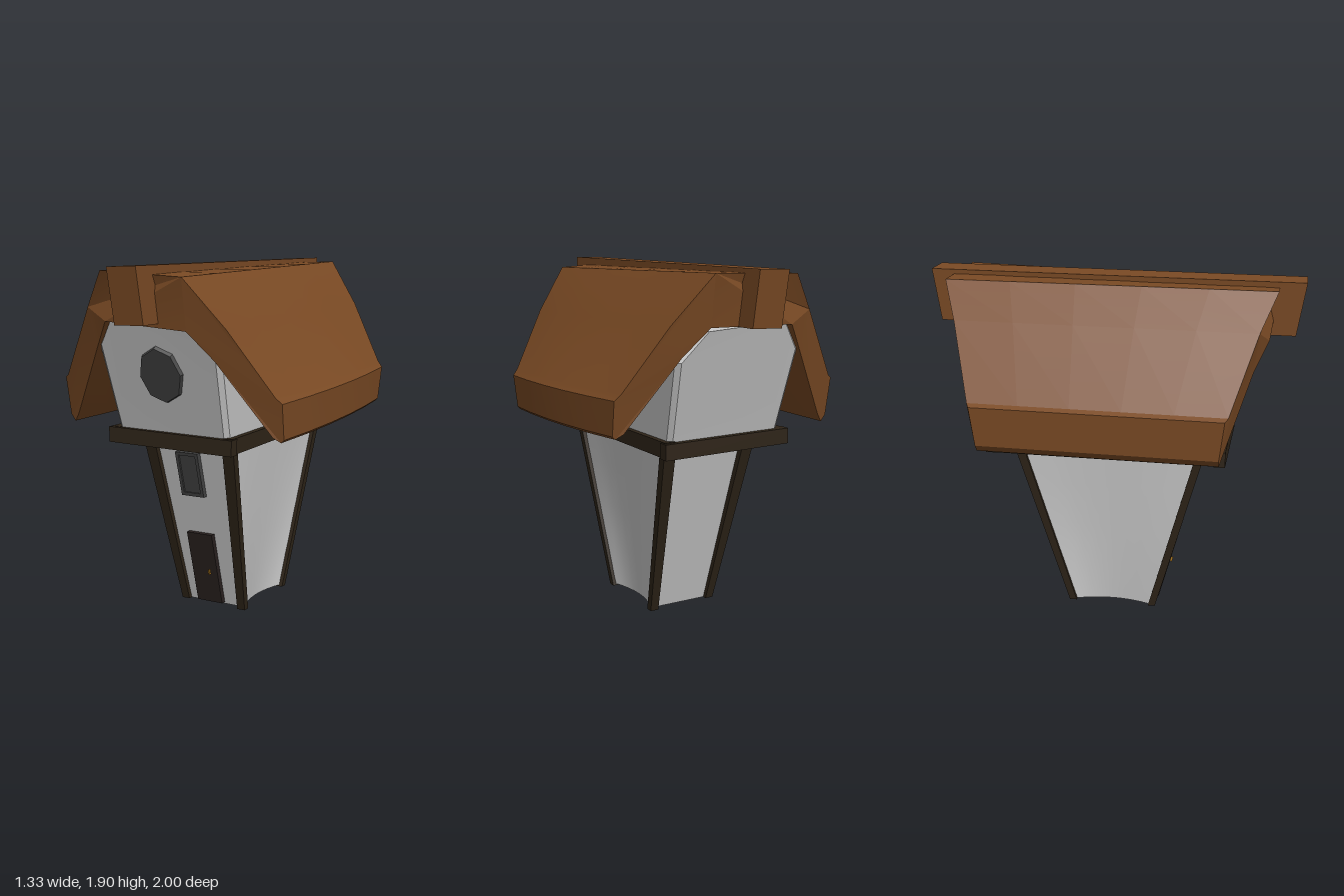
import * as THREE from 'three';
import { toCreasedNormals } from 'three/addons/utils/BufferGeometryUtils.js';

const mat = (color, side = THREE.FrontSide) => new THREE.MeshStandardMaterial({ color, side });
const plaster = mat(0xcccccc, THREE.DoubleSide);
const roofWood = mat(0x7a4a24);
const darkWood = mat(0x2e2418);
const doorWood = mat(0x2a2220);
const glass = mat(0x444444);
const brass = mat(0xb07a20);

// Skin a list of closed rings of [x, y, z]; optional end caps for rings stacked along z
function loft(rings, caps) {
  const n = rings[0].length, last = (rings.length - 1) * n, index = [];
  for (let i = 0; i < rings.length - 1; i++) {
    for (let j = 0; j < n; j++) {
      const a = i * n + j, b = i * n + (j + 1) % n;
      index.push(a, b, b + n, a, b + n, a + n);
    }
  }
  if (caps) {
    const outline = rings[0].map(([x, y]) => new THREE.Vector2(x, y));
    for (const [a, b, c] of THREE.ShapeUtils.triangulateShape(outline, [])) {
      index.push(a, c, b, last + a, last + b, last + c);
    }
  }
  const geo = new THREE.BufferGeometry();
  geo.setAttribute('position', new THREE.Float32BufferAttribute(rings.flat(2), 3));
  geo.setIndex(index);
  return toCreasedNormals(geo, 0.35);
}

// Box whose bottom and top are different rectangles [x0, x1, z0, z1]
function taperedBox(y0, low, y1, high) {
  const geo = new THREE.BoxGeometry(1, 1, 1);
  const p = geo.attributes.position;
  for (let i = 0; i < p.count; i++) {
    const top = p.getY(i) > 0, r = top ? high : low;
    p.setXYZ(i, r[p.getX(i) > 0 ? 1 : 0], top ? y1 : y0, r[p.getZ(i) > 0 ? 3 : 2]);
  }
  const flat = geo.toNonIndexed();
  flat.computeVertexNormals();
  return flat;
}

export function createModel() {
  const model = new THREE.Group();
  const add = (name, geo, material, parent = model) => {
    const mesh = new THREE.Mesh(geo, material);
    mesh.name = name;
    parent.add(mesh);
    return mesh;
  };

  // Tower: open shell flaring upward, side walls bowed inward near the ground
  const towerRings = [];
  for (let i = 0; i <= 4; i++) {
    const t = i / 4, ring = [];
    const front = 0.22 + 0.265 * t, back = -0.225 - 0.28 * t;
    const left = 0.2 + 0.07 * t, right = -0.17 - 0.065 * t;
    const bow = (k) => 0.045 * (1 - t) * (1 - (2 * k - 1) ** 2);
    const y = 0.012 + 0.97 * t;
    for (let k = 0; k <= 1; k += 0.125) ring.push([left - bow(k), y, front + (back - front) * k]);
    for (let k = 0; k <= 1; k += 0.125) ring.push([right + bow(k), y, back + (front - back) * k]);
    towerRings.push(ring);
  }
  add('towerWalls', loft(towerRings), plaster);

  // Leaning corner posts
  const posts = new THREE.Group();
  posts.name = 'cornerPosts';
  model.add(posts);
  for (const [x0, x1, x2, x3, y] of [[-0.185, -0.14, -0.253, -0.187, 0.012], [0.168, 0.215, 0.225, 0.292, 0.004]]) {
    add('frontPost', taperedBox(y, [x0, x1, 0.205, 0.245], 0.98, [x2, x3, 0.47, 0.515]), darkWood, posts);
    add('backPost', taperedBox(y, [x0, x1, -0.25, -0.21], 0.98, [x2, x3, -0.54, -0.49]), darkWood, posts);
  }

  // Door and lower window lie on the leaning front wall
  const wallZ = (y) => 0.22 + 0.273 * y;
  const onWall = (x0, x1, y0, y1, out) => taperedBox(
    y0, [x0, x1, wallZ(y0) - 0.02, wallZ(y0) + out],
    y1, [x0, x1, wallZ(y1) - 0.02, wallZ(y1) + out]);
  add('door', onWall(-0.078, 0.077, 0.022, 0.44, 0.027), doorWood);
  add('doorHandle', onWall(0.026, 0.034, 0.198, 0.226, 0.04), brass);
  add('windowPane', onWall(-0.055, 0.052, 0.68, 0.89, 0.016), glass);
  add('windowFrameTop', onWall(-0.07, 0.066, 0.89, 0.908, 0.026), glass);
  add('windowFrameBottom', onWall(-0.07, 0.066, 0.66, 0.68, 0.026), glass);
  add('windowFrameSide', onWall(-0.07, -0.052, 0.66, 0.908, 0.026), glass);
  add('windowFrameSide', onWall(0.048, 0.066, 0.66, 0.908, 0.026), glass);

  // Upper room: gabled prism, ends leaning outward, chamfered corners
  const roomProfile = [
    [-0.345, 0.975, 0.585], [0.308, 0.975, 0.585], [0.342, 1.45, 0.735],
    [0.21, 1.6, 0.785], [-0.26, 1.63, 0.79], [-0.37, 1.48, 0.745],
  ];
  const roomRings = [[-1, 0, 0.93], [-1, 0.025, 1], [1, 0.025, 1], [1, 0, 0.93]].map(([s, inset, sx]) =>
    roomProfile.map(([x, y, z]) => [x * sx, y, s * (z - inset) - (s < 0 ? 0.012 : 0)]));
  add('upperRoom', loft(roomRings, true), plaster);

  // Eight-sided window in the front gable
  const round = new THREE.Group();
  round.name = 'roundWindow';
  round.position.set(-0.008, 1.34, 0.705);
  round.rotation.x = 0.305;
  model.add(round);
  const ringGeo = new THREE.CylinderGeometry(0.13, 0.14, 0.03, 8).toNonIndexed();
  ringGeo.computeVertexNormals();
  const disc = add('roundWindowPane', ringGeo, glass, round);
  disc.geometry.rotateX(Math.PI / 2).rotateZ(0.06).scale(0.93, 1.12, 1);

  // Beams around the foot of the upper room
  const beams = new THREE.Group();
  beams.name = 'ledgeBeams';
  model.add(beams);
  const bar = (name, w, d, x, y, z) => {
    const mesh = add(name, new THREE.BoxGeometry(w, 0.082, d), darkWood, beams);
    mesh.position.set(x, y, z);
    return mesh;
  };
  bar('frontBeam', 0.74, 0.06, -0.022, 0.99, 0.6).rotation.z = -0.014;
  bar('backBeam', 0.74, 0.06, -0.022, 1.0, -0.62).rotation.z = -0.014;
  bar('leftBeam', 0.06, 1.24, 0.312, 0.994, -0.01).rotation.x = 0.01;
  bar('rightBeam', 0.06, 1.24, -0.355, 1.0, -0.01).rotation.x = 0.006;

  // Thick roof shell: [x, y, half length] around its section, flared at the eaves
  const roofProfile = [
    [-0.652, 1.08, 0.62], [-0.625, 1.045, 0.62], [-0.59, 1.09, 0.635], [-0.365, 1.46, 0.76],
    [-0.26, 1.605, 0.83], [0.21, 1.572, 0.83], [0.33, 1.43, 0.765], [0.575, 1.06, 0.63],
    [0.61, 1.035, 0.61], [0.625, 1.05, 0.61], [0.632, 1.23, 0.645], [0.602, 1.262, 0.66],
    [0.4, 1.585, 0.775], [0.21, 1.83, 0.867], [-0.26, 1.856, 0.867], [-0.4, 1.67, 0.785],
    [-0.635, 1.3, 0.66], [-0.662, 1.285, 0.645],
  ];
  const roofRings = [-1, -0.6, -0.2, 0.2, 0.6, 1].map((s) => roofProfile.map(([x, y, z]) => [
    x + (x > 0.3 ? 0.035 * (1 - s * s) * (x - 0.21) / 0.42 : 0),
    y + (x > 0 ? 0.05 : 0.01) * (1 - s) / 2,
    s * z - 0.006,
  ]));
  add('roof', loft(roofRings, true), roofWood);

  // Ridge beam with slanted ends
  const ridge = add('ridgeBeam', taperedBox(-0.14, [-0.115, 0.052, -0.955, 0.955], 0.14, [-0.115, 0.052, -0.998, 0.998]), roofWood);
  ridge.position.y = 1.75;
  ridge.rotation.x = 0.009;
  ridge.rotation.z = 0.03;

  return model;
}
